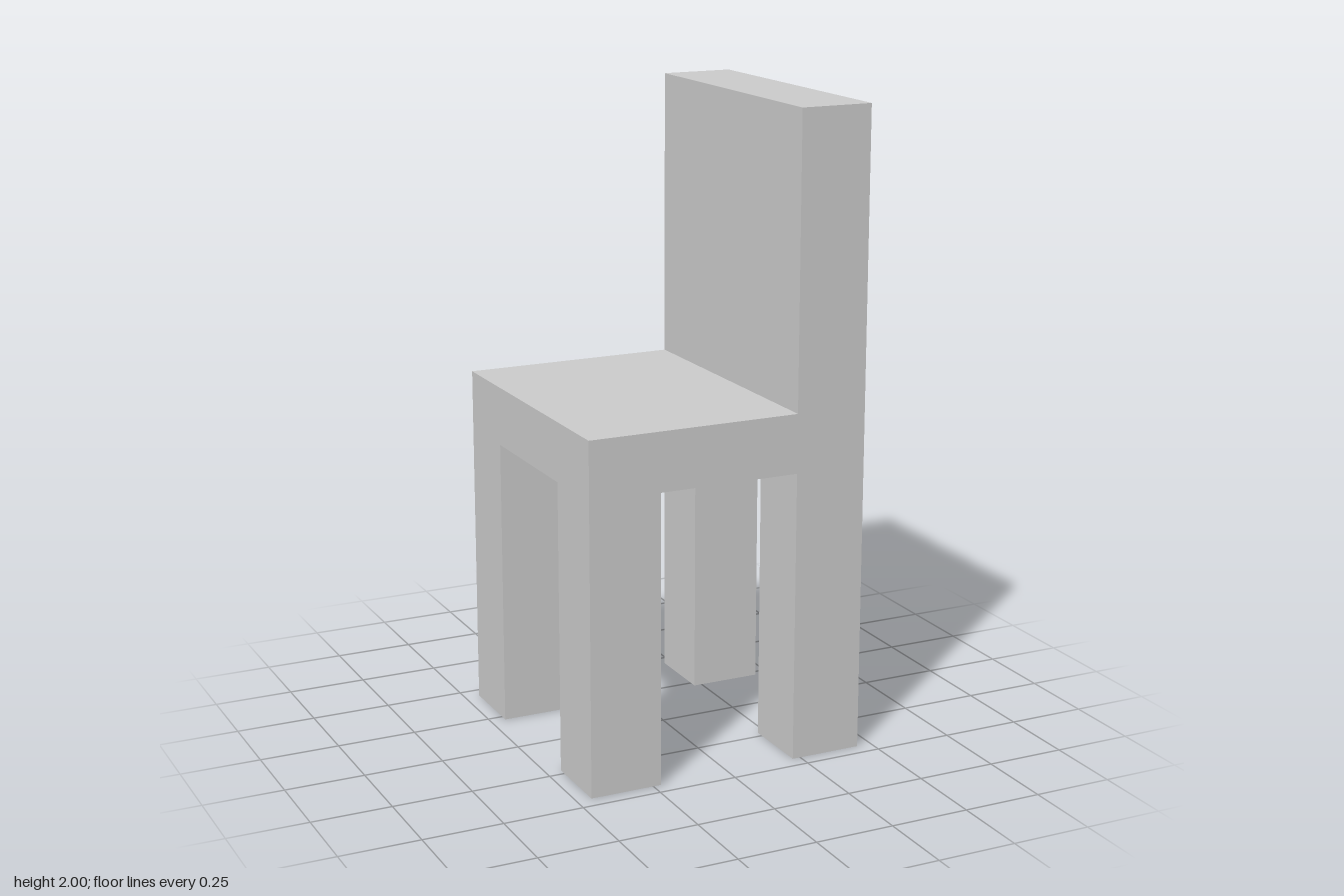
import * as THREE from 'three';

const HALF = 0.452;      // half the width and depth of the chair
const INNER = 0.224;     // inner face of legs and backrest
const SEAT_BOTTOM = 0.912;
const SEAT_TOP = 1.096;
const TOP = 2;

export function createModel() {
  const chair = new THREE.Group();
  chair.name = 'chair';
  const material = new THREE.MeshStandardMaterial({ color: 0xcccccc, flatShading: true });

  // Box spanning two opposite corners
  function addBox(name, [x0, y0, z0], [x1, y1, z1]) {
    const mesh = new THREE.Mesh(new THREE.BoxGeometry(x1 - x0, y1 - y0, z1 - z0), material);
    mesh.position.set((x0 + x1) / 2, (y0 + y1) / 2, (z0 + z1) / 2);
    mesh.name = name;
    chair.add(mesh);
  }

  // Seat slab
  addBox('seat', [-HALF, SEAT_BOTTOM, -HALF], [HALF, SEAT_TOP, HALF]);

  // Backrest rising from the +x edge of the seat
  addBox('backrest', [INNER, SEAT_TOP, -HALF], [HALF, TOP, HALF]);

  // Four square legs flush with the seat corners
  const spans = [[-HALF, -INNER], [INNER, HALF]];
  for (const [x0, x1] of spans) {
    for (const [z0, z1] of spans) {
      addBox(x0 > 0 ? 'backrestLeg' : 'seatEdgeLeg', [x0, 0, z0], [x1, SEAT_BOTTOM, z1]);
    }
  }

  return chair;
}
